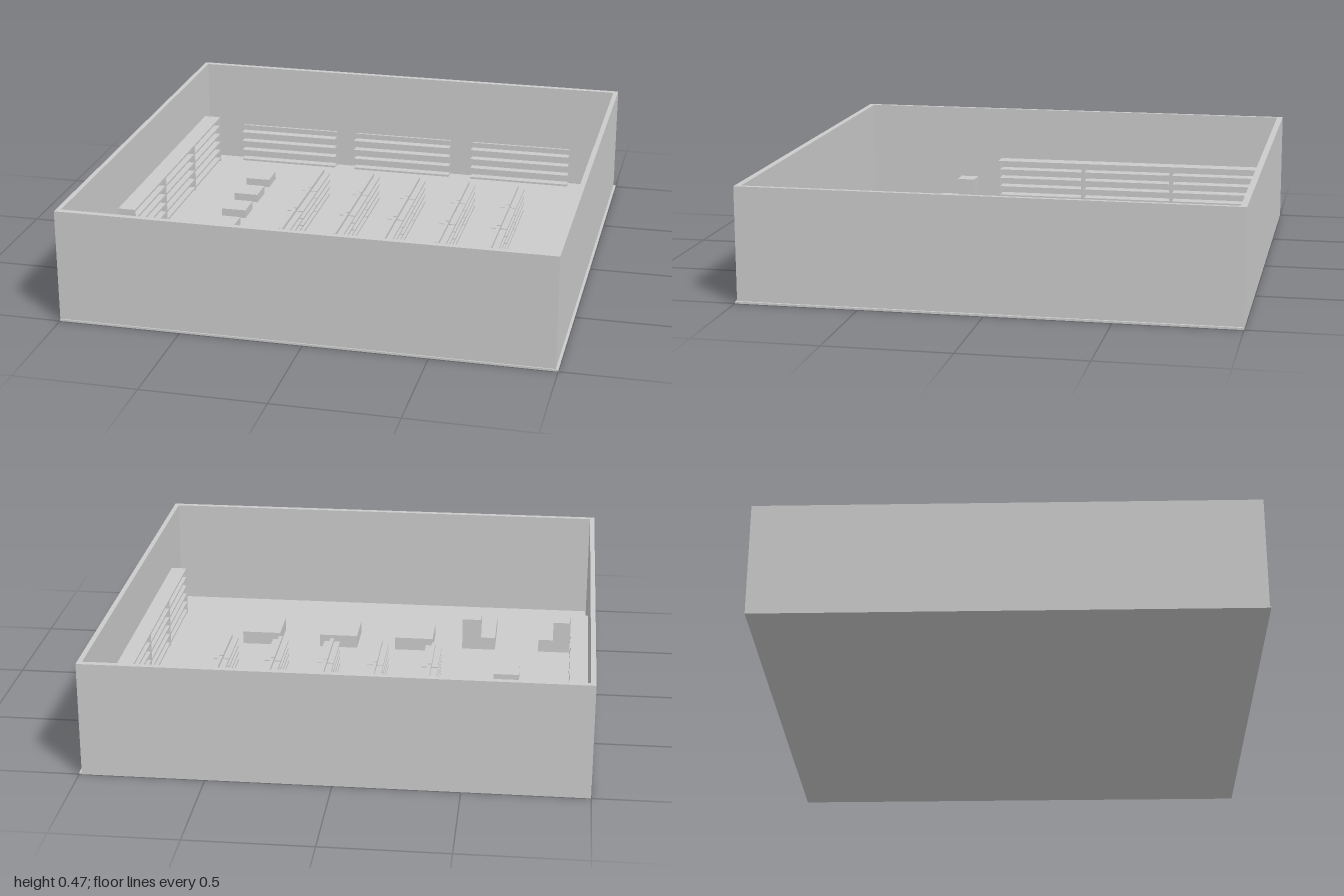
import * as THREE from 'three';

const material = new THREE.MeshStandardMaterial({ color: 0xcccccc, flatShading: true });

// Box given by its extents on each axis
function box(parent, name, x0, x1, y0, y1, z0, z1) {
  const mesh = new THREE.Mesh(new THREE.BoxGeometry(x1 - x0, y1 - y0, z1 - z0), material);
  mesh.position.set((x0 + x1) / 2, (y0 + y1) / 2, (z0 + z1) / 2);
  mesh.name = name;
  parent.add(mesh);
}

function group(parent, name) {
  const g = new THREE.Group();
  g.name = name;
  parent.add(g);
  return g;
}

const FLOOR = 0.008;

export function createModel() {
  const model = new THREE.Group();
  model.name = 'storeInterior';

  // Floor slab and four walls, open at the top
  box(model, 'floor', -1, 1, 0, FLOOR, -1, 1);
  const walls = group(model, 'walls');
  box(walls, 'leftSideWall', 0.97, 0.99, FLOOR, 0.47, -1, 0.995);
  box(walls, 'rightSideWall', -1, -0.98, FLOOR, 0.47, -1, 0.995);
  box(walls, 'backWall', -0.98, 0.97, FLOOR, 0.47, -1, -0.975);
  box(walls, 'frontWall', -0.98, 0.97, FLOOR, 0.47, 0.97, 0.995);

  // Tall cabinets along the side walls: back, two ends and shelves
  const cabinet = (side, z0, z1) => {
    const g = group(model, 'wallCabinet');
    const [x0, x1] = side < 0 ? [-0.98, -0.905] : [0.9, 0.97];
    const top = 0.23;
    if (side < 0) box(g, 'cabinetBack', x0, x0 + 0.012, FLOOR, top, z0, z1);
    else box(g, 'cabinetBack', x1 - 0.012, x1, FLOOR, top, z0, z1);
    box(g, 'cabinetEnd', x0, x1, FLOOR, top, z0, z0 + 0.008);
    box(g, 'cabinetEnd', x0, x1, FLOOR, top, z1 - 0.008, z1);
    for (let i = 0; i < 6; i++) {
      const y = FLOOR + 0.008 + i * 0.041;
      box(g, 'cabinetShelf', x0, x1, y, y + 0.009, z0 + 0.008, z1 - 0.008);
    }
  };
  const splits = [-0.9, -0.49, -0.07, 0.34, 0.755];
  for (let i = 0; i < 4; i++) {
    if (i < 3) cabinet(-1, splits[i], splits[i + 1]);
    cabinet(1, splits[i], splits[i + 1]);
  }

  // Open racks on the back wall
  for (const x of [-0.57, -0.015, 0.55]) {
    const g = group(model, 'backRack');
    box(g, 'rackPanel', x - 0.23, x + 0.23, FLOOR, 0.18, -0.968, -0.957);
    for (let i = 0; i < 4; i++) {
      const y = 0.012 + i * 0.045;
      box(g, 'rackShelf', x - 0.23, x + 0.23, y, y + 0.009, -0.957, -0.918);
    }
  }

  // Double-sided aisle shelving, three sections per row
  for (const x of [-0.31, -0.075, 0.14, 0.37, 0.595]) {
    const row = group(model, 'aisleRow');
    for (const z of [-0.44, -0.19, 0.063]) {
      const g = group(row, 'aisleSection');
      box(g, 'aislePanel', x - 0.008, x + 0.008, FLOOR, 0.137, z - 0.122, z + 0.122);
      for (let i = 0; i < 4; i++) {
        const y = 0.014 + i * 0.033;
        for (const s of [-1, 1]) {
          const a = x + s * 0.008, b = x + s * 0.035;
          box(g, 'aisleShelf', Math.min(a, b), Math.max(a, b), y, y + 0.009, z - 0.122, z + 0.122);
        }
      }
    }
  }

  // Low display blocks in a line
  for (let i = 0; i < 5; i++) {
    const z = -0.66 + i * 0.198;
    box(model, 'displayBlock', -0.69, -0.58, FLOOR, 0.045, z - 0.058, z + 0.058);
  }

  // Display tables near the front
  for (const x of [-0.205, 0.138, 0.49]) {
    box(model, 'displayTable', x - 0.085, x + 0.085, FLOOR, 0.065, 0.4, 0.582);
  }

  // Two checkouts: long counter with a taller stand beside it
  const right = group(model, 'checkoutRight');
  box(right, 'counter', -0.83, -0.765, FLOOR, 0.065, 0.442, 0.712);
  box(right, 'stand', -0.91, -0.83, FLOOR, 0.15, 0.442, 0.522);
  const left = group(model, 'checkoutLeft');
  box(left, 'counter', -0.57, -0.505, FLOOR, 0.065, 0.442, 0.712);
  box(left, 'stand', -0.505, -0.422, FLOOR, 0.15, 0.442, 0.522);

  return model;
}
